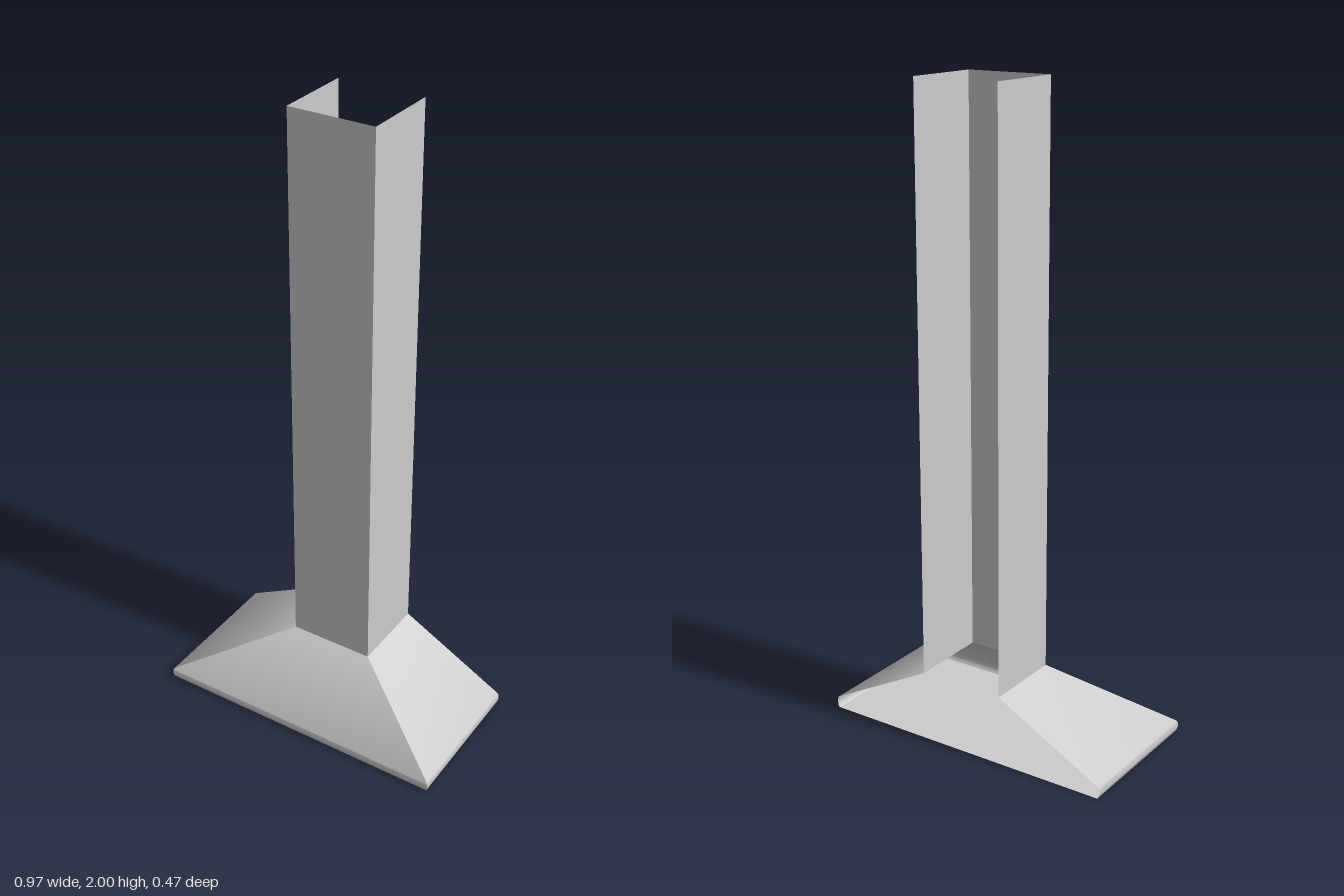
import * as THREE from 'three';
import { toCreasedNormals } from 'three/addons/utils/BufferGeometryUtils.js';

const BACK = -0.2375;
const material = new THREE.MeshStandardMaterial({ color: 0xcccccc, side: THREE.DoubleSide });

// Three-sided sheet, open at the back, through rings of [half width, front z, y]
function openShell(rings) {
  const positions = [], index = [];
  for (const [w, front, y] of rings) {
    positions.push(w, y, BACK, w, y, front, -w, y, front, -w, y, BACK);
  }
  for (let r = 0; r < rings.length - 1; r++) {
    for (let i = 0; i < 3; i++) {
      const a = r * 4 + i;
      index.push(a, a + 4, a + 1, a + 1, a + 4, a + 5);
    }
  }
  const geometry = new THREE.BufferGeometry();
  geometry.setAttribute('position', new THREE.Float32BufferAttribute(positions, 3));
  geometry.setIndex(index);
  return toCreasedNormals(geometry, 0.7);
}

export function createModel() {
  const group = new THREE.Group();
  const add = (name, geometry) => {
    const mesh = new THREE.Mesh(geometry, material);
    mesh.name = name;
    group.add(mesh);
    return mesh;
  };

  const W = 0.4875, D = 0.2375, inset = 0.008;
  const neckW = 0.138, neckFront = 0.018, neckY = 0.22;

  // Flared canopy with a rounded lower lip
  const rings = [];
  for (let i = 0; i <= 8; i++) {
    const a = -Math.PI / 2 + (i / 8) * (Math.PI * 0.82);
    const d = inset * (1 - Math.cos(a));
    rings.push([W - d, D - d, 0.02 + 0.02 * Math.sin(a)]);
  }
  rings.push([neckW, neckFront, neckY]);
  add('canopy', openShell(rings));

  // Flat underside
  const underside = add('underside', new THREE.PlaneGeometry(2 * (W - inset), D - inset - BACK));
  underside.rotation.x = Math.PI / 2;
  underside.position.z = (D - inset + BACK) / 2;

  // Tall duct cover, open at the back and the top
  add('ductCover', openShell([[neckW, neckFront, neckY], [neckW, neckFront, 2]]));

  return group;
}
